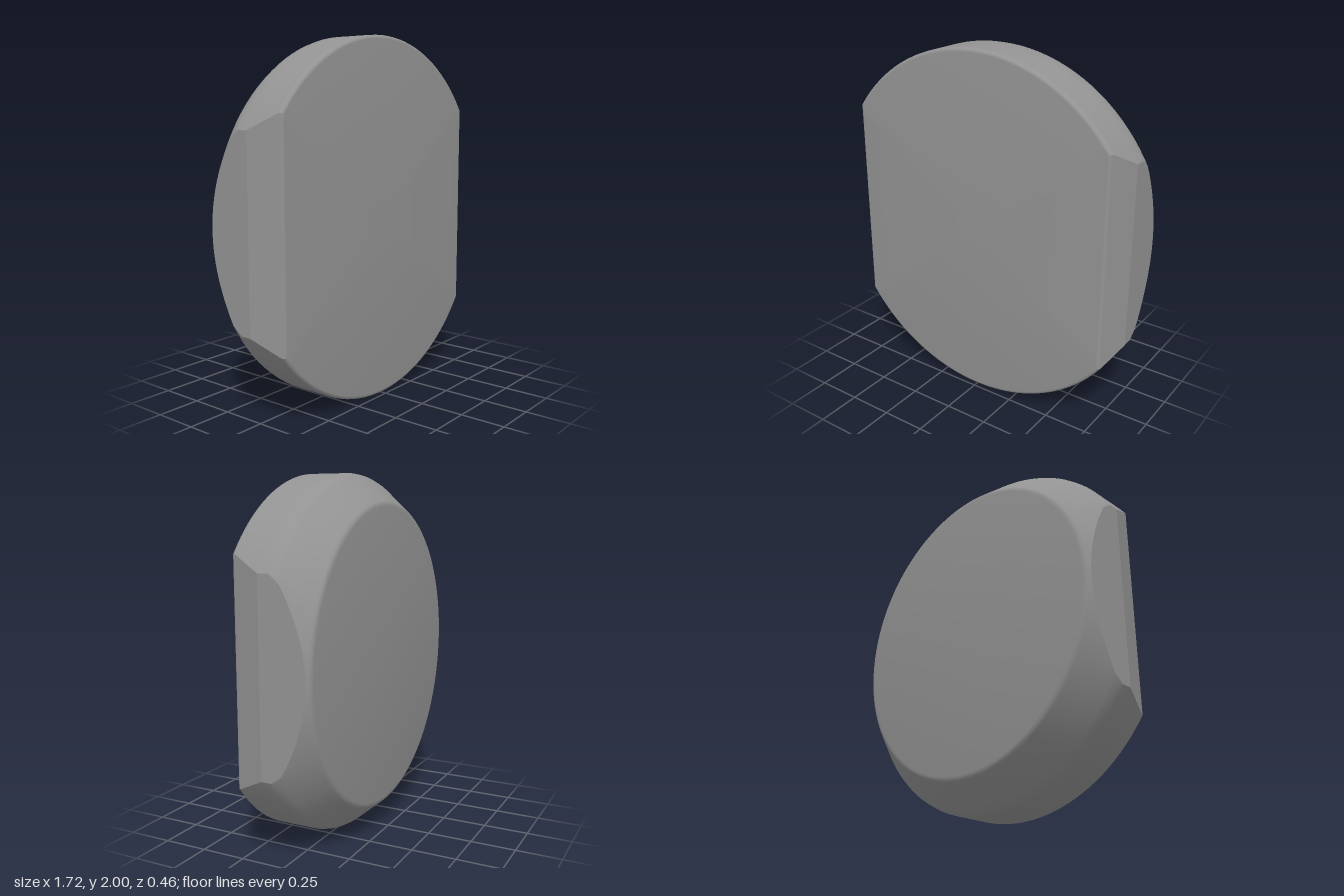
import * as THREE from 'three';
import { toCreasedNormals } from 'three/addons/utils/BufferGeometryUtils.js';

const HALF_WIDTH = 0.86, FRONT = 0.23, BACK = -0.23;

// Front rings [radius, half width, z]: a small rounded lip, then the bevel down to the side flats
const FRONT_RINGS = [0, 14, 28, 42, 56, 70, 77].map((degrees) => {
  const a = THREE.MathUtils.degToRad(degrees), r = 0.02;
  return [0.98 + r * Math.sin(a), 0.785 + r * Math.sin(a), FRONT - r + r * Math.cos(a)];
});
FRONT_RINGS.push([1, 0.8077, 0.205], [1, HALF_WIDTH, 0.05]);

// Profile of the back chamfer with softened edges: [radius, z]
const CHAMFER = [
  [1, -0.01], [0.993, -0.04], [0.975, -0.072], [0.855, -0.2125],
  [0.848, -0.2205], [0.841, -0.2254], [0.833, -0.2283], [0.822, BACK],
];

function chamferZ(r) {
  for (let i = 0; i < CHAMFER.length - 1; i++) {
    const [r0, z0] = CHAMFER[i], [r1, z1] = CHAMFER[i + 1];
    if (r >= r1) return z0 + (z1 - z0) * (r0 - r) / (r0 - r1);
  }
  return BACK;
}

// Point on a circle trimmed by two flats; sides run right flat, top arc, left flat, bottom arc
function outlinePoint(side, t, radius, halfWidth) {
  const corner = Math.acos(halfWidth / radius);
  const sign = side < 2 ? 1 : -1;
  if (side % 2 === 0) {
    const h = radius * Math.sin(corner);
    return new THREE.Vector2(sign * halfWidth, sign * h * (2 * t - 1));
  }
  const angle = corner + (Math.PI - 2 * corner) * t;
  return new THREE.Vector2(Math.cos(angle), Math.sin(angle)).multiplyScalar(sign * radius);
}

// Points from front to back along the edge of the disc
function edgeColumn(side, t) {
  const points = FRONT_RINGS.map(([radius, halfWidth, z]) => {
    const p = outlinePoint(side, t, radius, halfWidth);
    return new THREE.Vector3(p.x, 1 + p.y, z);
  });
  const rim = outlinePoint(side, t, 1, HALF_WIDTH);
  const rimRadius = rim.length();
  for (const [r] of CHAMFER) {
    const radius = Math.min(r, rimRadius), k = radius / rimRadius;
    points.push(new THREE.Vector3(rim.x * k, 1 + rim.y * k, chamferZ(radius)));
  }
  return points;
}

function discGeometry() {
  const columns = [];
  for (let side = 0; side < 4; side++) {
    const n = side % 2 ? 36 : 24;
    for (let i = 0; i < n; i++) columns.push(edgeColumn(side, i / n));
  }
  const positions = [];
  const ab = new THREE.Vector3(), ac = new THREE.Vector3();
  const triangle = (a, b, c) => {
    // skip slivers where the chamfer runs out into the flats
    if (ab.subVectors(b, a).cross(ac.subVectors(c, a)).length() < 1e-8) return;
    for (const p of [a, b, c]) positions.push(p.x, p.y, p.z);
  };
  const frontCentre = new THREE.Vector3(0, 1, FRONT), backCentre = new THREE.Vector3(0, 1, BACK);
  columns.forEach((col, i) => {
    const next = columns[(i + 1) % columns.length], last = col.length - 1;
    for (let j = 0; j < last; j++) {
      triangle(col[j], col[j + 1], next[j]);
      triangle(next[j], col[j + 1], next[j + 1]);
    }
    triangle(frontCentre, col[0], next[0]);
    triangle(backCentre, next[last], col[last]);
  });
  const geometry = new THREE.BufferGeometry();
  geometry.setAttribute('position', new THREE.Float32BufferAttribute(positions, 3));
  return toCreasedNormals(geometry, 0.3);
}

export function createModel() {
  const group = new THREE.Group();
  group.name = 'flatSidedDisc';
  const disc = new THREE.Mesh(discGeometry(), new THREE.MeshStandardMaterial({ color: 0x939393 }));
  disc.name = 'disc';
  group.add(disc);
  return group;
}
